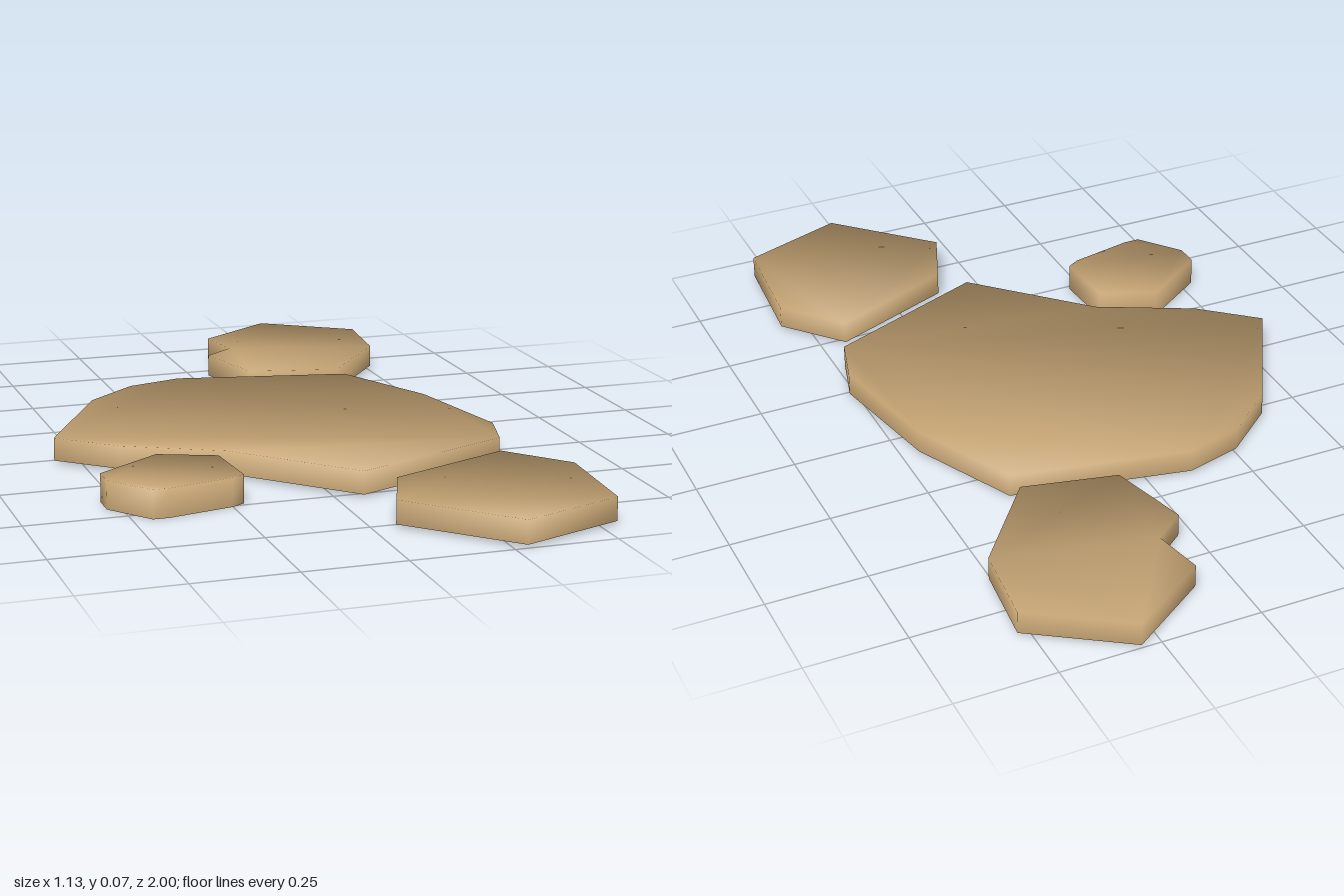
import * as THREE from 'three';

// Hollow slab, open below, with a polygon outline [x, z] listed clockwise from above.
// Top and sides share normals, weighted by corner angle, for a softly rounded look.
function slabGeometry(outline, y0, y1) {
  const pts = outline.map(([x, z]) => new THREE.Vector2(x, z));
  const n = pts.length;
  const positions = [], normals = [], index = [];
  const outward = pts.map((p, i) => {
    const q = pts[(i + 1) % n];
    return new THREE.Vector2(q.y - p.y, p.x - q.x).normalize();
  });

  for (const [y, capWeight] of [[y0, 0], [y1, 1]]) {
    pts.forEach((p, i) => {
      const a = outward[(i + n - 1) % n], b = outward[i];
      const turn = Math.atan2(a.cross(b), a.dot(b));
      const h = Math.PI / 2;
      const normal = new THREE.Vector3((a.x + b.x) * h, capWeight * (Math.PI - turn), (a.y + b.y) * h).normalize();
      positions.push(p.x, y, p.y);
      normals.push(normal.x, normal.y, normal.z);
    });
  }

  // Top face
  for (const [a, b, c] of THREE.ShapeUtils.triangulateShape(pts, [])) {
    index.push(a + n, c + n, b + n);
  }
  // Side walls
  for (let i = 0; i < n; i++) {
    const j = (i + 1) % n;
    index.push(j, i, i + n, j, i + n, j + n);
  }

  const geometry = new THREE.BufferGeometry();
  geometry.setAttribute('position', new THREE.Float32BufferAttribute(positions, 3));
  geometry.setAttribute('normal', new THREE.Float32BufferAttribute(normals, 3));
  geometry.setIndex(index);
  return geometry;
}

export function createModel() {
  const group = new THREE.Group();
  group.name = 'steppingStones';
  const sandstone = new THREE.MeshStandardMaterial({ color: 0xc4a373, side: THREE.DoubleSide });
  sandstone.name = 'sandstone';

  const addStone = (name, outline, y0 = 0.008, y1 = 0.066) => {
    const mesh = new THREE.Mesh(slabGeometry(outline, y0, y1), sandstone);
    mesh.name = name;
    group.add(mesh);
  };

  // Large central slab
  addStone('mainStone', [
    [-0.112, -0.445], [0.332, -0.355], [0.457, -0.087], [0.518, 0.232], [0.482, 0.362], [0.065, 0.534],
    [-0.193, 0.27], [-0.428, 0.15], [-0.565, 0.03], [-0.388, -0.293], [-0.255, -0.405],
  ]);

  // Notched slab at the back
  addStone('backStone', [
    [0.3, -1], [0.53, -0.845], [0.508, -0.635], [0.328, -0.408],
    [0.094, -0.462], [0.04, -0.668], [0.12, -0.73], [0.095, -0.86],
  ]);

  // Slab at the front
  addStone('frontStone', [
    [0.438, 0.472], [0.565, 0.62], [0.543, 0.903], [0.28, 1], [0.055, 0.772], [0.12, 0.605],
  ]);

  // Small, slightly thicker stone
  addStone('smallStone', [
    [-0.368, 0.262], [-0.228, 0.318], [-0.218, 0.488], [-0.25, 0.507],
    [-0.413, 0.543], [-0.453, 0.543], [-0.535, 0.437], [-0.535, 0.377],
  ], 0, 0.071);

  return group;
}
